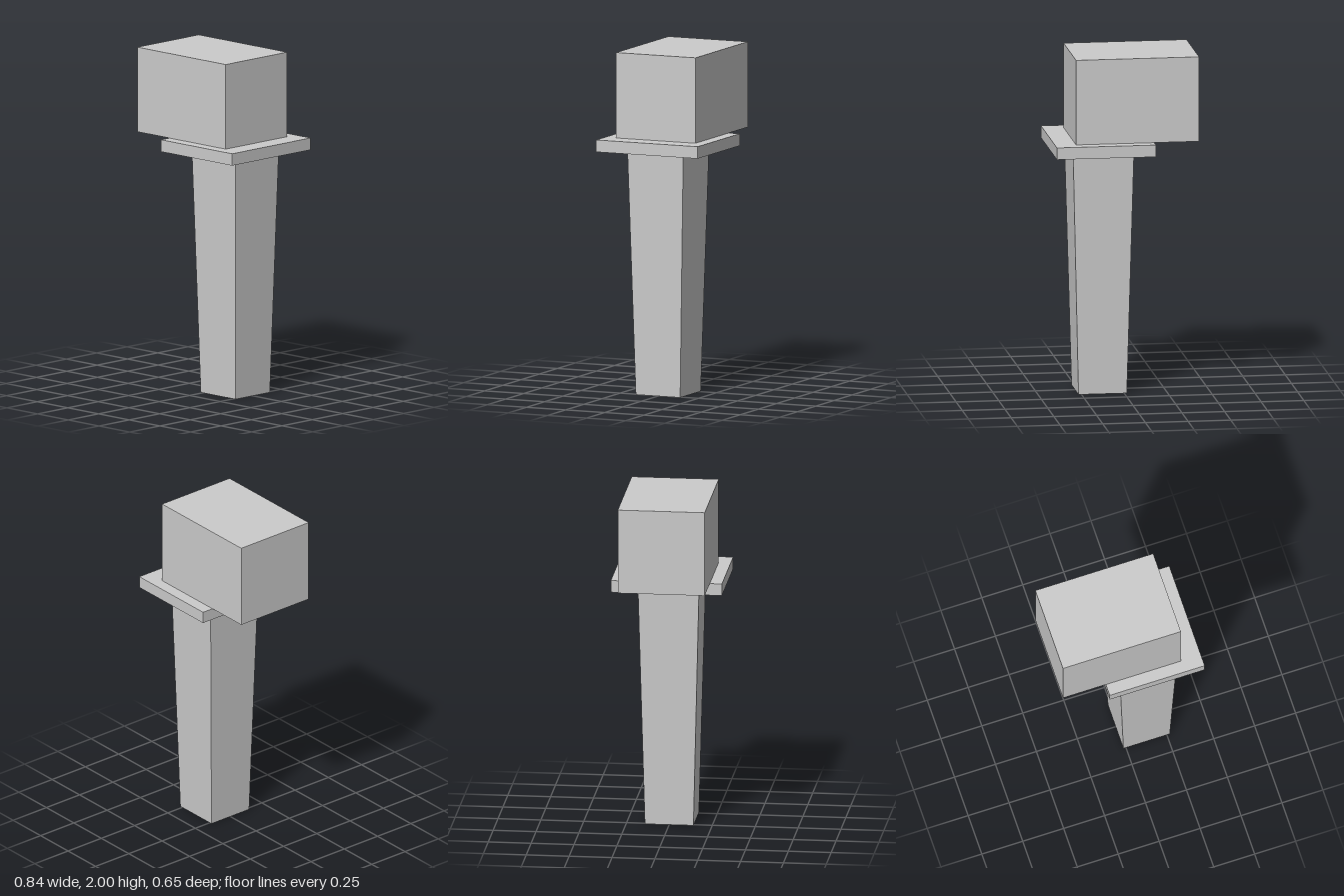
import * as THREE from 'three';

const material = new THREE.MeshStandardMaterial({ color: 0xcccccc, flatShading: true });

// Box standing on y0; the bottom may be narrower than the top
function block(name, width, depth, y0, y1, x, bottomScale = 1) {
  const height = y1 - y0;
  const geometry = new THREE.BoxGeometry(width, height, depth);
  const p = geometry.attributes.position;
  for (let i = 0; i < p.count; i++) {
    if (p.getY(i) < 0) {
      p.setX(i, p.getX(i) * bottomScale);
      p.setZ(i, p.getZ(i) * bottomScale);
    }
  }
  geometry.computeVertexNormals();
  const mesh = new THREE.Mesh(geometry, material);
  mesh.name = name;
  mesh.position.set(x, y0 + height / 2, 0);
  return mesh;
}

export function createModel() {
  const group = new THREE.Group();
  group.name = 'postWithBlock';
  group.add(
    block('taperedPost', 0.356, 0.356, 0, 1.43, 0.126, 0.795), // narrows downwards
    block('collarPlate', 0.58, 0.648, 1.43, 1.5, 0.13),
    block('headBlock', 0.72, 0.507, 1.5, 2, -0.062) // overhangs the plate towards -x
  );
  return group;
}
